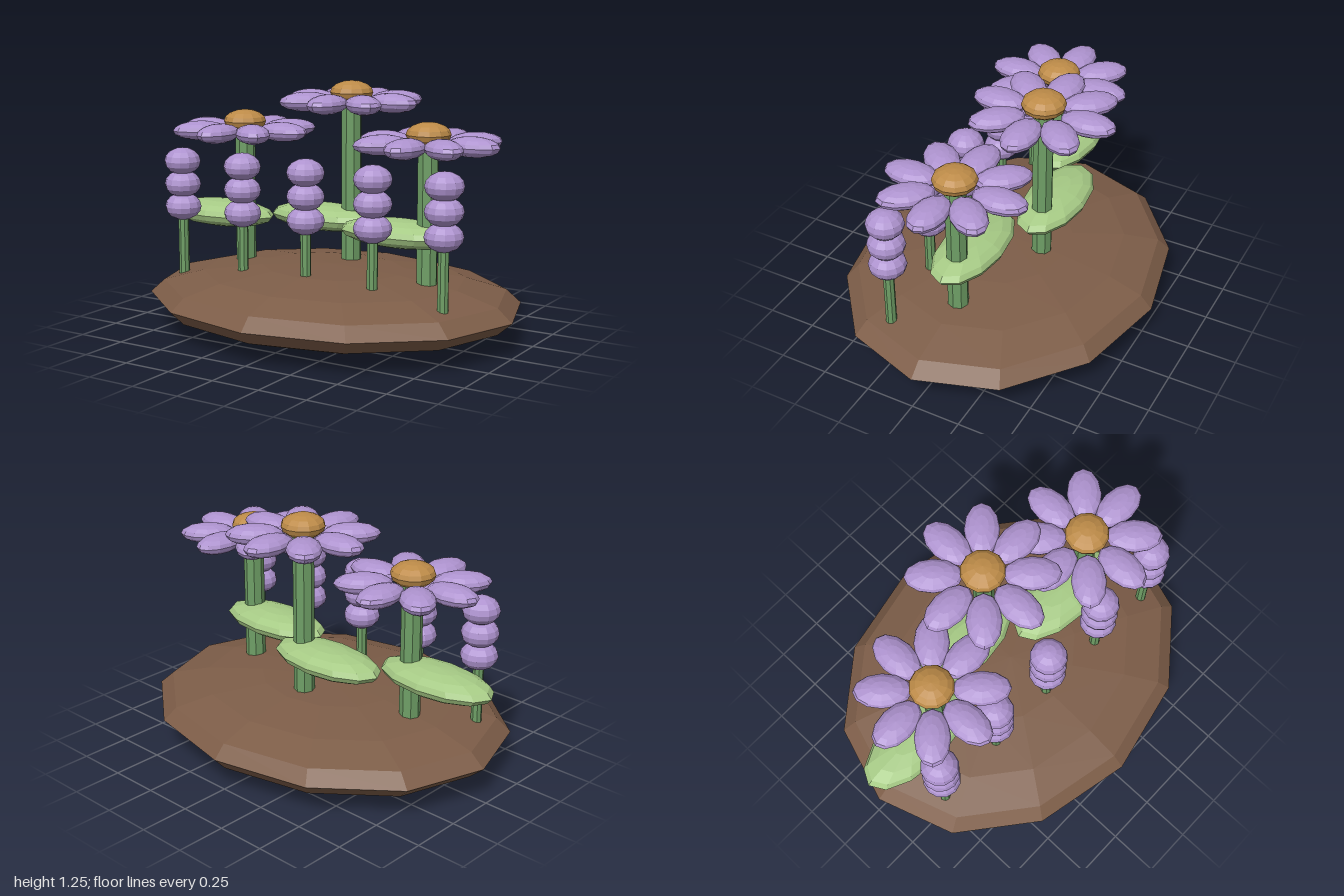
import * as THREE from 'three';

const material = (color) => new THREE.MeshStandardMaterial({ color, flatShading: true });

export function createModel() {
  const soil = material(0x7d5d48);
  const stemGreen = material(0x6f9f66);
  const leafGreen = material(0xa6ca85);
  const lilac = material(0xae93cf);
  const amber = material(0xbd8b48);

  // Every rounded part is a stretched low-poly ball
  const ball = new THREE.SphereGeometry(1, 12, 8);
  const model = new THREE.Group();
  model.name = 'flowerBed';

  function addBall(parent, name, mat, position, radii) {
    const mesh = new THREE.Mesh(ball, mat);
    mesh.name = name;
    mesh.position.set(...position);
    mesh.scale.set(...radii);
    parent.add(mesh);
    return mesh;
  }

  function addStem(parent, radius, bottom, top) {
    const mesh = new THREE.Mesh(new THREE.CylinderGeometry(radius, radius, top - bottom, 8), stemGreen);
    mesh.name = 'stem';
    mesh.position.y = (bottom + top) / 2;
    parent.add(mesh);
  }

  const bed = new THREE.Group();
  bed.name = 'bed';
  bed.position.x = 0.011;
  model.add(bed);

  // Earth mound
  addBall(bed, 'mound', soil, [0, 0.171, 0], [0.988, 0.171, 0.795]);

  // Open flowers: stem, one leaf, eight petals and a domed centre
  function addFlower(x, z, height) {
    const flower = new THREE.Group();
    flower.name = 'flower';
    flower.position.set(x, 0, z);
    addStem(flower, 0.052, 0.2, height);
    addBall(flower, 'leaf', leafGreen, [-0.157, 0.54, 0], [0.321, 0.07, 0.155]);
    for (let i = 0; i < 8; i++) {
      const a = (i / 8) * Math.PI * 2;
      const petal = addBall(flower, 'petal', lilac,
        [Math.cos(a) * 0.232, height, -Math.sin(a) * 0.232], [0.14, 0.049, 0.086]);
      petal.rotation.y = a;
    }
    addBall(flower, 'flowerCentre', amber, [0, height + 0.043, 0], [0.109, 0.06, 0.109]);
    bed.add(flower);
  }
  addFlower(-0.534, 0, 0.99);
  addFlower(0, -0.18, 1.15);
  addFlower(0.534, 0, 0.99);

  // Front row of bud spikes: thin stem with three stacked buds
  for (let i = -2; i <= 2; i++) {
    const spike = new THREE.Group();
    spike.name = 'budSpike';
    spike.position.set(i * 0.375, 0, 0.25);
    addStem(spike, 0.027, 0.2, 0.6);
    for (let j = 0; j < 3; j++) {
      addBall(spike, 'bud', lilac, [0, 0.604 + j * 0.117, 0], [0.093, 0.07, 0.093]);
    }
    bed.add(spike);
  }

  return model;
}
